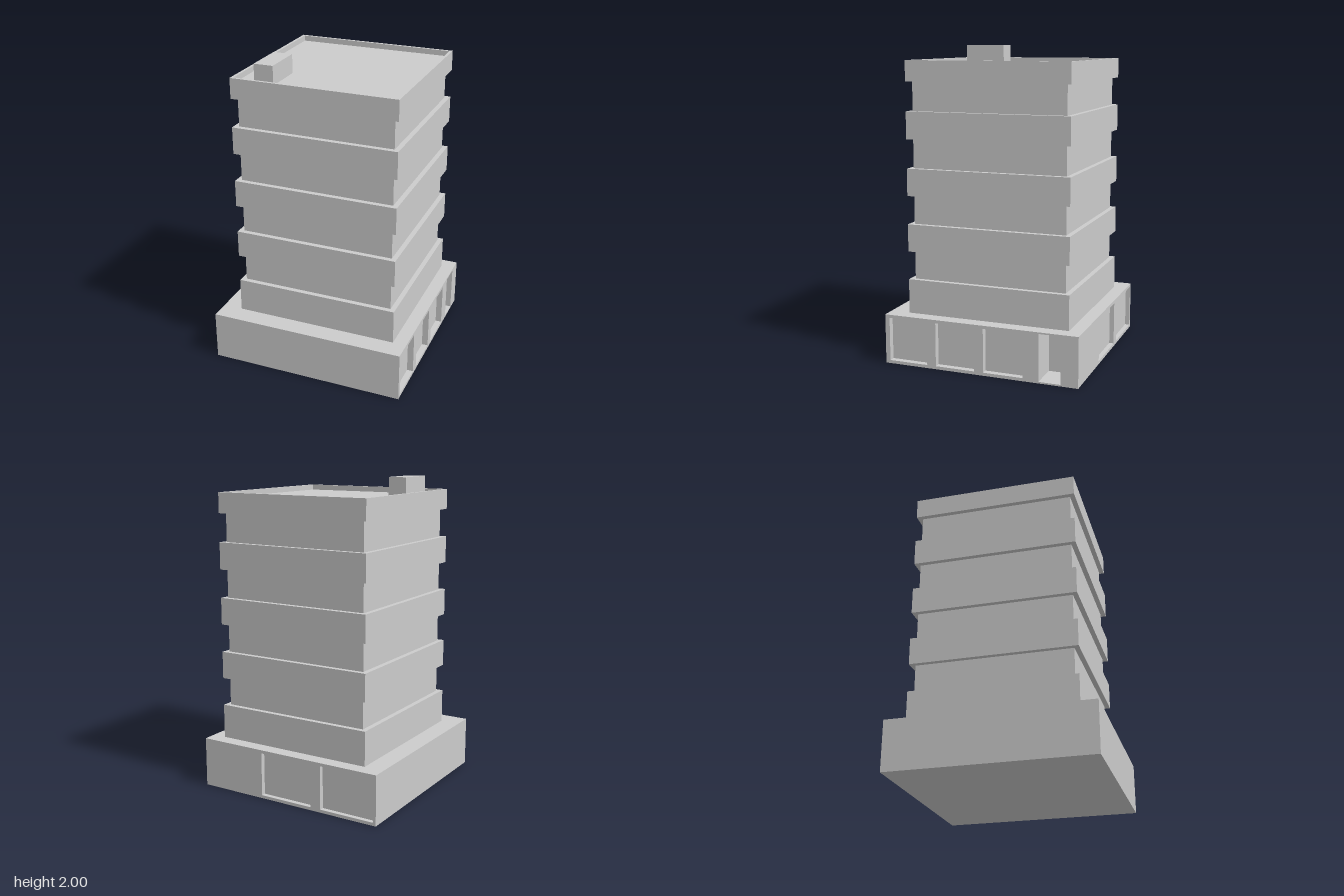
import * as THREE from 'three';

const material = new THREE.MeshStandardMaterial({ color: 0xcccccc, flatShading: true });

// Rectangle given by its limits, for outlines and holes
function rect(x0, x1, y0, y1, Type = THREE.Shape) {
  const r = new Type();
  r.moveTo(x0, y0);
  r.lineTo(x1, y0);
  r.lineTo(x1, y1);
  r.lineTo(x0, y1);
  r.closePath();
  return r;
}

function extrude(shape, depth) {
  return new THREE.ExtrudeGeometry(shape, { depth, bevelEnabled: false });
}

export function createModel() {
  const model = new THREE.Group();
  model.name = 'officeBlock';

  const add = (parent, name, geometry) => {
    const mesh = new THREE.Mesh(geometry, material);
    mesh.name = name;
    parent.add(mesh);
    return mesh;
  };
  const box = (parent, name, x0, x1, y0, y1, z0, z1) => {
    const mesh = add(parent, name, new THREE.BoxGeometry(x1 - x0, y1 - y0, z1 - z0));
    mesh.position.set((x0 + x1) / 2, (y0 + y1) / 2, (z0 + z1) / 2);
    return mesh;
  };

  // Podium: a core with a doorway notch, faced by walls pierced for windows
  const W = 0.64, H = 0.32, sideDepth = 0.04, backDepth = 0.03;
  const coreX = W - sideDepth, coreZ = W - backDepth;
  const podium = new THREE.Group();
  podium.name = 'podium';
  model.add(podium);

  box(podium, 'podiumFloor', -W, coreX, 0, 0.01, -coreZ, W);
  box(podium, 'podiumRoof', -W, coreX, 0.31, H, -coreZ, W);

  const plan = new THREE.Shape(); // plan in x and -z
  [[-W, -W], [coreX, -W], [coreX, 0.39], [coreX - 0.16, 0.39],
    [coreX - 0.16, 0.53], [coreX, 0.53], [coreX, coreZ], [-W, coreZ]]
    .forEach(([x, y], i) => (i ? plan.lineTo(x, y) : plan.moveTo(x, y)));
  plan.closePath();
  add(podium, 'podiumCore', extrude(plan, 0.3).rotateX(-Math.PI / 2)).position.y = 0.01;

  // Side wall: three windows and a door
  const side = rect(-W, coreZ, 0, H);
  for (const u of [-0.61, -0.29, 0.03]) side.holes.push(rect(u, u + 0.26, 0.02, 0.3, THREE.Path));
  side.holes.push(rect(0.39, 0.53, 0.01, 0.31, THREE.Path));
  add(podium, 'windowWall', extrude(side, sideDepth).rotateY(Math.PI / 2)).position.x = coreX;

  // Back wall: two wide windows
  const back = rect(-W, W, 0, H);
  for (const u of [-0.19, 0.25]) back.holes.push(rect(u, u + 0.37, 0.02, 0.3, THREE.Path));
  add(podium, 'backWall', extrude(back, backDepth).rotateY(Math.PI)).position.z = -coreZ;

  // Tower: slightly off centre, wide bands alternating with recessed storeys
  const tower = new THREE.Group();
  tower.name = 'tower';
  tower.position.set(0.02, 0, -0.02);
  model.add(tower);
  const outer = 0.532, inner = 0.5, roofY = 1.88, topY = 1.915;
  const bands = [[H, 0.54], [0.72, 0.895], [1.075, 1.248], [1.43, 1.603], [1.785, roofY]];
  bands.forEach(([y0, y1], i) => {
    box(tower, 'band', -outer, outer, y0, y1, -outer, outer);
    if (i < bands.length - 1) box(tower, 'storey', -inner, inner, y1, bands[i + 1][0], -inner, inner);
  });

  // Parapet round the flat roof
  const rim = rect(-outer, outer, -outer, outer);
  const lip = outer - 0.018;
  rim.holes.push(rect(-lip, lip, -lip, lip, THREE.Path));
  add(tower, 'parapet', extrude(rim, topY - roofY).rotateX(-Math.PI / 2)).position.y = roofY;

  // Rooftop plant housing
  box(model, 'roofHousing', -0.38, -0.255, roofY, 2, 0.18, 0.45);

  return model;
}
